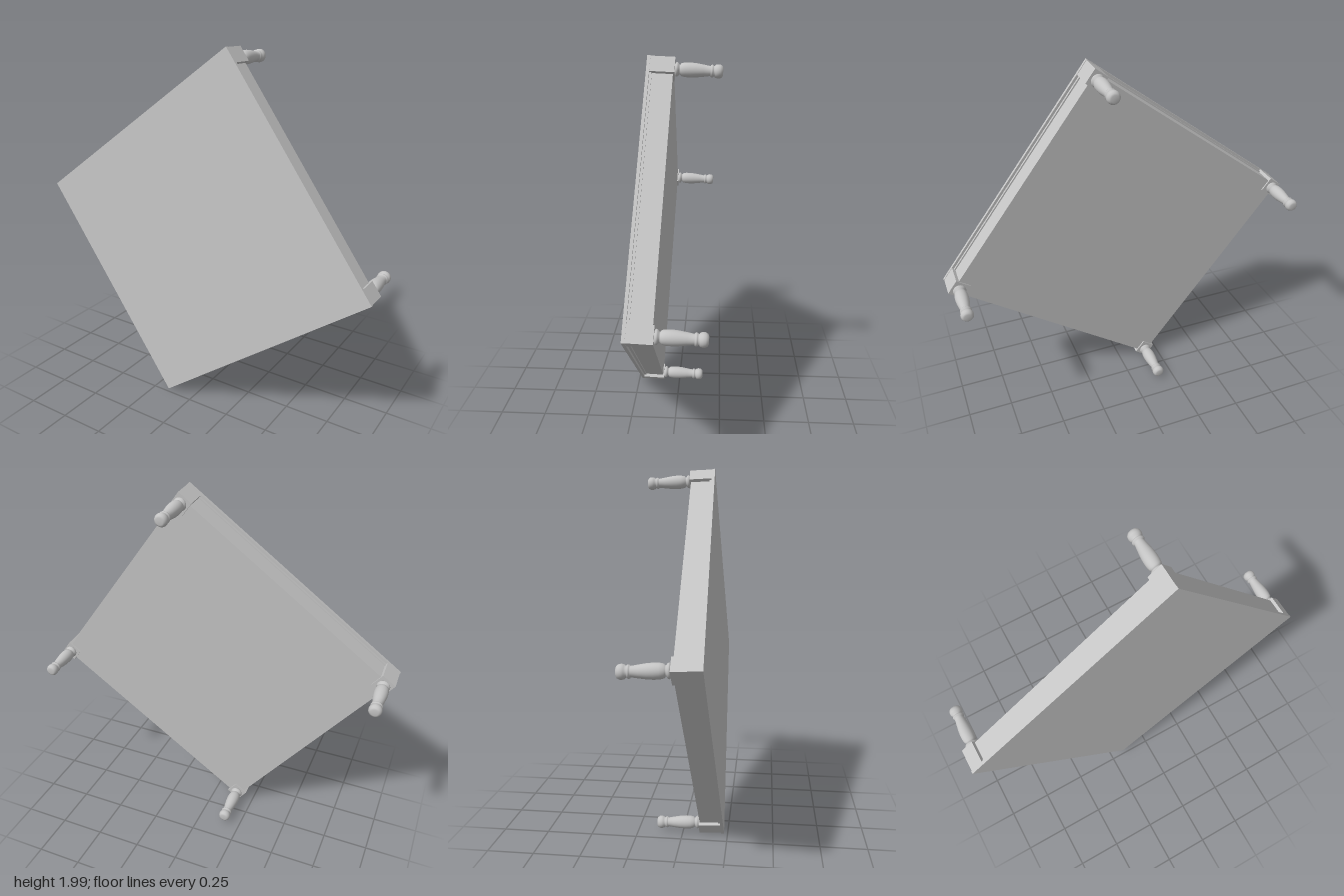
import * as THREE from 'three';

const W = 1.448, D = 1.398;      // table top size
const TOP = 0.016;               // table top thickness
const POST = 0.085;              // corner block side
const DEPTH = 0.137;             // table top plus corner block
const RECESS = 0.02;             // apron set back from the blocks

export function createModel() {
  const grey = new THREE.MeshStandardMaterial({ color: 0xc4c4c4 });
  grey.name = 'plain grey';
  const table = new THREE.Group();
  table.name = 'tippedTable';

  const box = (name, w, h, d, x, y, z) => {
    const m = new THREE.Mesh(new THREE.BoxGeometry(w, h, d), grey);
    m.name = name;
    m.position.set(x, y, z);
    table.add(m);
  };

  // Thin top, a narrow band under it, and the closed apron
  box('tableTop', W, TOP, D, 0, -TOP / 2, 0);
  box('topBand', W - 0.026, 0.012, D - 0.026, 0, -TOP - 0.006, 0);
  const apronHeight = DEPTH - TOP - 0.007;
  box('apron', W - 2 * RECESS, apronHeight, D - 2 * RECESS, 0, -TOP - apronHeight / 2, 0);

  // Turned leg profile: radius, distance below the corner block
  const profile = [
    [0.022, -0.002], [0.032, 0.003], [0.035, 0.009], [0.032, 0.016], [0.024, 0.021],
    [0.024, 0.026], [0.031, 0.031], [0.035, 0.05], [0.036, 0.075], [0.034, 0.105],
    [0.029, 0.14], [0.024, 0.172], [0.029, 0.176], [0.031, 0.181], [0.029, 0.186],
    [0.024, 0.191], [0.031, 0.198], [0.034, 0.209], [0.033, 0.221], [0.027, 0.231],
    [0.018, 0.235], [0, 0.235],
  ].reverse().map(([r, d]) => new THREE.Vector2(r, -d));
  const legGeometry = new THREE.LatheGeometry(profile, 28);

  // Corner blocks and legs
  for (const sx of [-1, 1]) {
    for (const sz of [-1, 1]) {
      const x = sx * (W / 2 - POST / 2 - 0.002), z = sz * (D / 2 - POST / 2 - 0.002);
      box('cornerBlock', POST, DEPTH - TOP, POST, x, -(DEPTH + TOP) / 2, z);
      const leg = new THREE.Mesh(legGeometry, grey);
      leg.name = 'leg';
      leg.position.set(x, -DEPTH, z);
      table.add(leg);
    }
  }

  // Tip the table on one corner so that its top faces forward
  const up = new THREE.Vector3(0.0075, 0.045, 1).normalize();
  const along = new THREE.Vector3(1.16, 0.865, 0);
  along.addScaledVector(up, -along.dot(up)).normalize();
  const across = new THREE.Vector3().crossVectors(along, up);
  table.quaternion.setFromRotationMatrix(new THREE.Matrix4().makeBasis(along, up, across));
  table.position.set(0, 1, 0.185);

  const model = new THREE.Group();
  model.name = 'table';
  model.add(table);
  return model;
}
